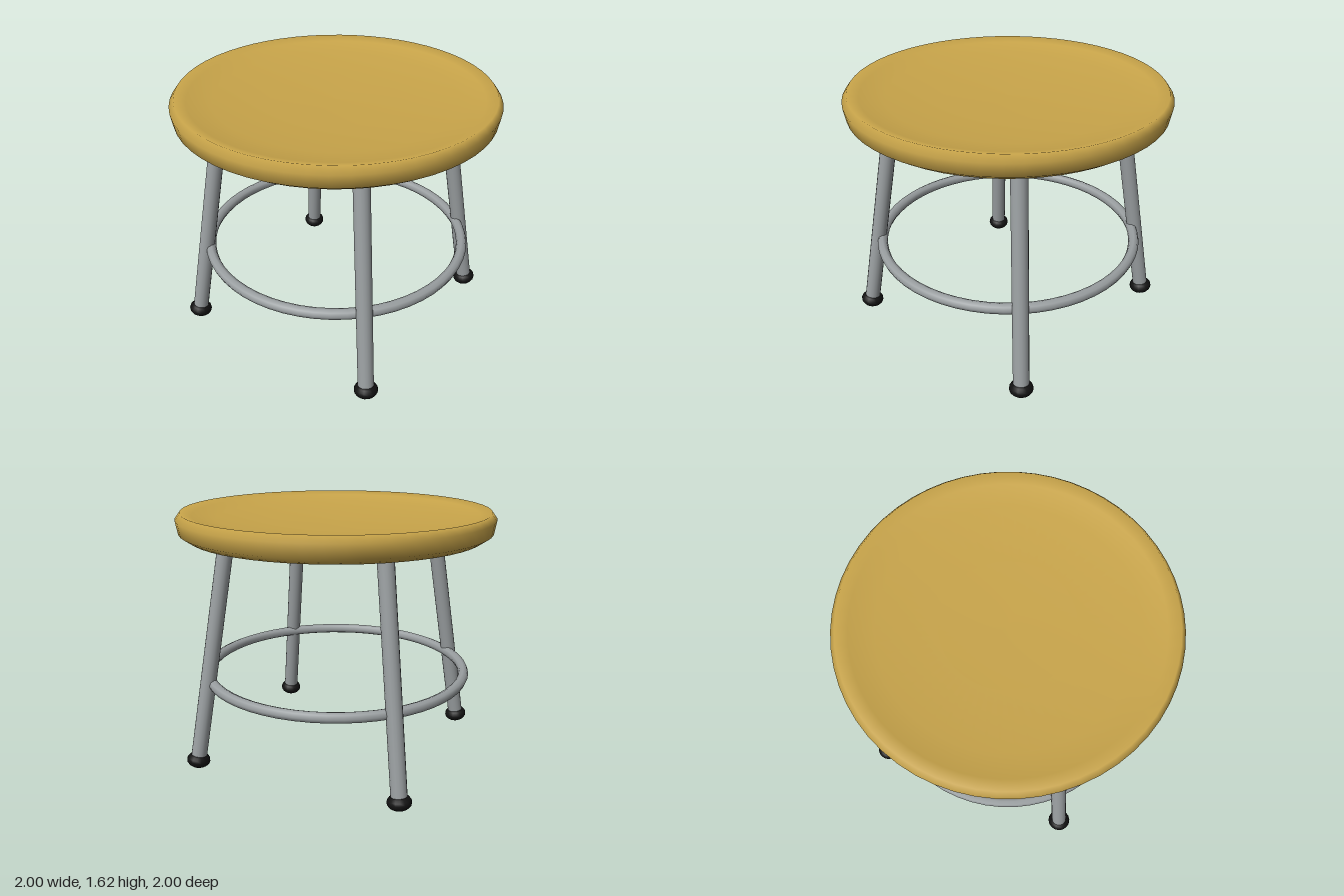
import * as THREE from 'three';

const wood = new THREE.MeshStandardMaterial({ name: 'wood', color: 0xc9a54a });
const steel = new THREE.MeshStandardMaterial({ name: 'steel', color: 0x9a9fa1 });
const rubber = new THREE.MeshStandardMaterial({ name: 'rubber', color: 0x111111 });

function addPart(parent, name, geometry, material) {
  const mesh = new THREE.Mesh(geometry, material);
  mesh.name = name;
  parent.add(mesh);
  return mesh;
}

// Splayed leg with a squashed rubber foot at its lower end
function makeLeg(sx, sz) {
  const leg = new THREE.Group();
  leg.name = `${sz > 0 ? 'front' : 'back'}${sx > 0 ? 'Left' : 'Right'}Leg`;
  const foot = new THREE.Vector3(0.68 * sx, 0.056, 0.68 * sz);
  const head = new THREE.Vector3(0.503 * sx, 1.48, 0.503 * sz);
  const axis = head.clone().sub(foot);

  const tube = addPart(leg, 'legTube', new THREE.CylinderGeometry(0.05, 0.05, axis.length(), 16), steel);
  tube.position.copy(foot).add(head).multiplyScalar(0.5);
  tube.quaternion.setFromUnitVectors(new THREE.Vector3(0, 1, 0), axis.normalize());

  const pad = addPart(leg, 'footPad', new THREE.SphereGeometry(0.075, 16, 10), rubber);
  pad.scale.y = 0.66;
  pad.position.copy(foot);
  pad.quaternion.copy(tube.quaternion);
  return leg;
}

export function createModel() {
  const stool = new THREE.Group();
  stool.name = 'stool';

  // Dished round seat with a rounded rim
  const profile = [
    [0, 1.465], [0.93, 1.465], [0.985, 1.502], [1, 1.585], [0.97, 1.625],
    [0.9, 1.603], [0.75, 1.578], [0.4, 1.555], [0, 1.55],
  ].map(([r, y]) => new THREE.Vector2(r, y));
  addPart(stool, 'seat', new THREE.LatheGeometry(profile, 56), wood);

  // Four legs
  for (const sx of [1, -1]) for (const sz of [1, -1]) stool.add(makeLeg(sx, sz));

  // Foot ring
  const ring = addPart(stool, 'footRing', new THREE.TorusGeometry(0.845, 0.034, 8, 56), steel);
  ring.rotation.x = Math.PI / 2;
  ring.position.y = 0.567;

  return stool;
}
